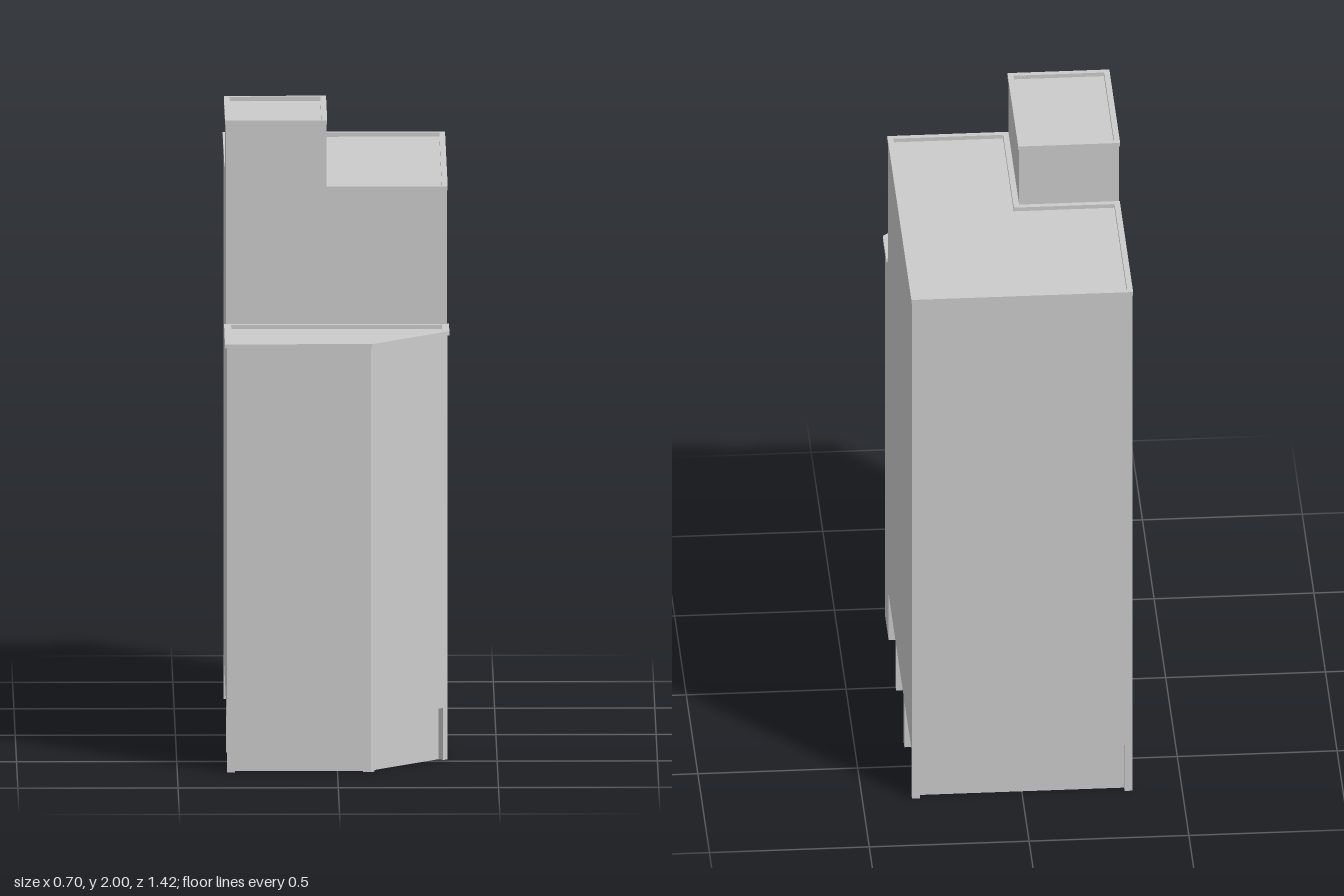
import * as THREE from 'three';

// Outlines are [x, z] points, walked from front left round by +x to the back.
const footprint = [[-0.345, 0.705], [0.105, 0.705], [0.345, 0.465], [0.345, -0.705], [-0.345, -0.705]];
const frontWing = [[-0.345, 0.705], [0.105, 0.705], [0.345, 0.465], [0.345, 0.33], [-0.345, 0.33]];
const mainBlock = [[-0.345, 0.33], [0.345, 0.33], [0.345, -0.705], [-0.345, -0.705]];
const tower = [[-0.345, 0.33], [-0.032, 0.33], [-0.032, -0.13], [-0.345, -0.13]];
const mainRoof = [[-0.03, 0.33], [0.345, 0.33], [0.345, -0.705], [-0.345, -0.705], [-0.345, -0.132], [-0.03, -0.132]];

// Recessed bays along each footprint edge, as [start, end] distances
const bays = [
  [[0.025, 0.425]],
  [[0.014, 0.32]],
  [[0.165, 0.455], [0.485, 0.815], [0.845, 1.145]],
  [[0.025, 0.665]],
  [[0.025, 1.0], [1.04, 1.385]],
];

const BASE = 0.165, WING = 1.355, MAIN = 1.79, TOP = 2, TRIM = 0.013, RECESS = 0.021;

function direction(a, b) {
  const l = Math.hypot(b[0] - a[0], b[1] - a[1]);
  return [(b[0] - a[0]) / l, (b[1] - a[1]) / l];
}

// Moves every edge inwards by d (outwards when negative), with mitred corners
function inset(points, d) {
  const n = points.length;
  return points.map((p, i) => {
    const a = direction(points[(i + n - 1) % n], p);
    const b = direction(p, points[(i + 1) % n]);
    const k = d / (1 + a[0] * b[0] + a[1] * b[1]);
    return [p[0] + k * (a[1] + b[1]), p[1] - k * (a[0] + b[0])];
  });
}

const toVectors = (points) => points.map(([x, z]) => new THREE.Vector2(x, -z));

function prism(name, outline, y0, y1, hole) {
  const shape = new THREE.Shape(toVectors(outline));
  if (hole) shape.holes.push(new THREE.Path(toVectors(hole)));
  const geometry = new THREE.ExtrudeGeometry(shape, { depth: y1 - y0, bevelEnabled: false });
  geometry.rotateX(-Math.PI / 2).translate(0, y0, 0);
  const mesh = new THREE.Mesh(geometry, new THREE.MeshStandardMaterial({ color: 0xcccccc }));
  mesh.name = name;
  return mesh;
}

// Footprint with every bay stepped back from the wall line
function bayOutline() {
  const out = [];
  footprint.forEach((p, i) => {
    const [dx, dz] = direction(p, footprint[(i + 1) % footprint.length]);
    const at = (t, d) => [p[0] + dx * t + dz * d, p[1] + dz * t - dx * d];
    out.push(p);
    for (const [s, e] of bays[i]) out.push(at(s, 0), at(s, RECESS), at(e, RECESS), at(e, 0));
  });
  return out;
}

// Raised edge around a flat roof
function parapet(name, outline, top, overhang, width) {
  return prism(name, inset(outline, -overhang), top - TRIM, top, inset(outline, width));
}

export function createModel() {
  const group = new THREE.Group();
  group.name = 'building';
  group.add(
    // ground floor is a hollow wall, open underneath
    prism('groundFloorBays', bayOutline(), 0, BASE, inset(footprint, RECESS + 0.004)),
    prism('frontWing', frontWing, BASE, WING - TRIM),
    prism('mainBlock', mainBlock, BASE, MAIN - TRIM),
    prism('roofTower', tower, MAIN - TRIM, TOP - TRIM),
    parapet('frontWingParapet', frontWing, WING, 0.006, 0.016),
    parapet('mainParapet', mainRoof, MAIN, 0.002, 0.016),
    parapet('towerParapet', tower, TOP, 0.003, 0.015),
  );
  return group;
}
